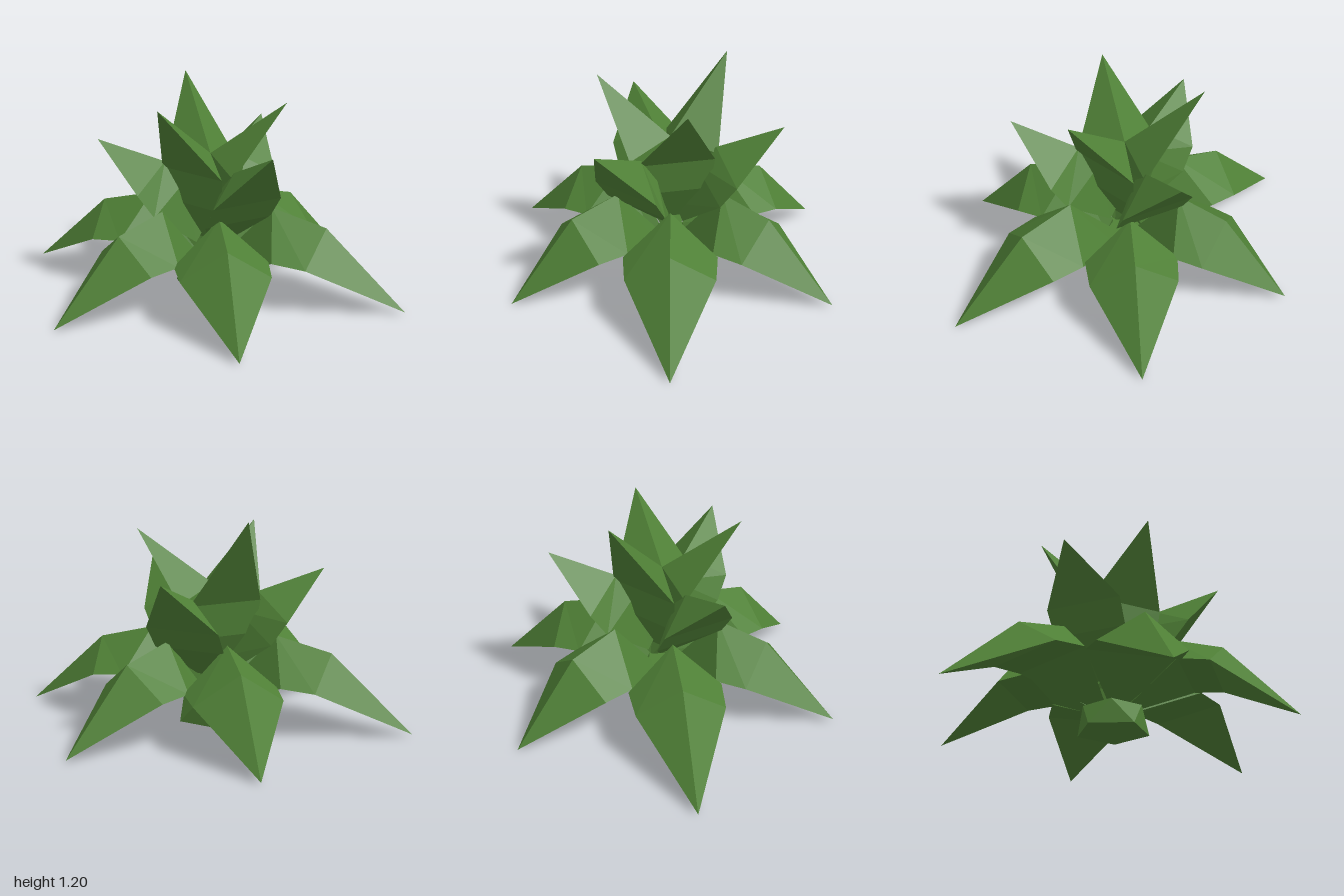
import * as THREE from 'three';

const green = new THREE.MeshStandardMaterial({ color: 0x4f8036, flatShading: true, side: THREE.DoubleSide });

// A leaf grows along +x. Each section is a triangle:
// [ridge x, ridge y, edge x, edge y, half width]; the tip closes it.
function leafGeometry(sections, tip) {
  const rings = sections.map(([rx, ry, ex, ey, w]) => [[rx, ry, 0], [ex, ey, w], [ex, ey, -w]]);
  const end = [tip[0], tip[1], 0];
  const out = [];
  const tri = (a, b, c) => out.push(...a, ...b, ...c);
  const root = rings[0];
  tri(root[0], root[2], root[1]);
  for (let i = 0; i < rings.length; i++) {
    const near = rings[i], far = rings[i + 1];
    for (let j = 0; j < 3; j++) {
      const k = (j + 1) % 3;
      if (!far) { tri(near[j], near[k], end); continue; }
      tri(near[j], far[k], far[j]);
      tri(near[j], near[k], far[k]);
    }
  }
  const geometry = new THREE.BufferGeometry();
  geometry.setAttribute('position', new THREE.Float32BufferAttribute(out, 3));
  geometry.computeVertexNormals();
  return geometry;
}

// Each whorl: profile plus leaves as [angle in degrees from +x towards +z, tip x, tip y, length scale]
const whorls = [
  {
    name: 'droopingLeaf',
    sections: [
      [0.08, 0.2, 0.1, 0.13, 0.05],
      [0.34, 0.52, 0.42, 0.29, 0.26],
      [0.63, 0.44, 0.59, 0.27, 0.245]
    ],
    leaves: [[-78, 1.02, 0.01, 1], [-18, 1.04, 0.01, 1], [42, 1.05, 0.01, 1.1],
      [102, 1.02, 0.01, 1], [162, 1.05, 0.01, 1], [-138, 1.05, 0.01, 1.1]]
  },
  {
    name: 'middleLeaf',
    sections: [
      [0.03, 0.36, 0.08, 0.28, 0.06],
      [0.14, 0.64, 0.31, 0.48, 0.21],
      [0.26, 0.75, 0.4, 0.61, 0.217]
    ],
    leaves: [[80, 0.635, 0.92, 1], [-40, 0.635, 0.9, 1], [-159, 0.64, 0.88, 1]]
  },
  {
    name: 'crownLeaf',
    sections: [
      [0, 0.36, 0.04, 0.3, 0.06],
      [0, 0.6, 0.14, 0.52, 0.2],
      [0, 0.8, 0.165, 0.715, 0.22]
    ],
    leaves: [[-90, 0.435, 1.2, 1], [30, 0.43, 1.11, 1], [150, 0.435, 1.12, 1]]
  }
];

export function createModel() {
  const model = new THREE.Group();
  model.name = 'plant';

  for (const { name, sections, leaves } of whorls) {
    const whorl = new THREE.Group();
    whorl.name = name + 'Whorl';
    for (const [angle, tipX, tipY, length] of leaves) {
      const leaf = new THREE.Mesh(leafGeometry(sections, [tipX, tipY]), green);
      leaf.name = name;
      leaf.scale.x = length;
      leaf.rotation.y = -THREE.MathUtils.degToRad(angle);
      whorl.add(leaf);
    }
    model.add(whorl);
  }

  // Five-sided foot, its upper ring turned half a step to make triangular facets
  const foot = new THREE.CylinderGeometry(0.17, 0.21, 0.14, 5, 1);
  const p = foot.attributes.position;
  const v = new THREE.Vector3();
  const up = new THREE.Vector3(0, 1, 0);
  for (let i = 0; i < p.count; i++) {
    v.fromBufferAttribute(p, i);
    if (v.y > 0) v.applyAxisAngle(up, -Math.PI / 5);
    p.setXYZ(i, v.x, v.y, v.z);
  }
  foot.rotateY(Math.PI / 2);
  foot.translate(0, 0.07, 0);
  foot.computeVertexNormals();
  const base = new THREE.Mesh(foot, green);
  base.name = 'foot';
  model.add(base);

  return model;
}
